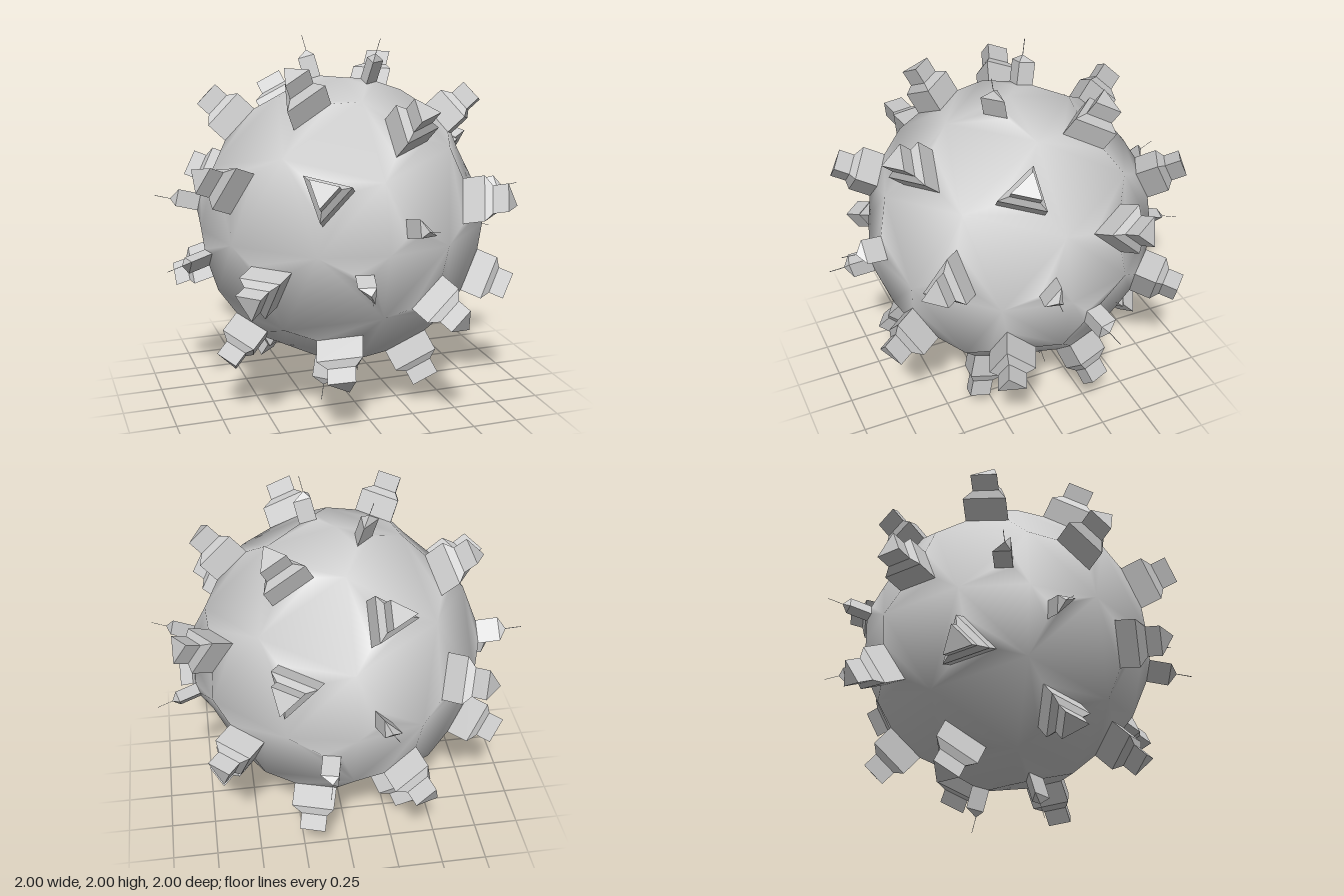
import * as THREE from 'three';
import { mergeVertices } from 'three/addons/utils/BufferGeometryUtils.js';

const R = 0.785; // ball radius
// stud profile: [inset from the triangle's sides, height above the triangle]
const PROFILE = [[0.079, 0.04], [0.079, 0.16], [0.106, 0.195], [0.106, 0.28]];

const material = new THREE.MeshStandardMaterial({ color: 0xcccccc });

function toGeometry(points) {
  const g = new THREE.BufferGeometry();
  g.setAttribute('position', new THREE.Float32BufferAttribute(points.flatMap((p) => p.toArray()), 3));
  return g;
}

// 72 triangles of a ball divided from an octahedron, alternately raised and plain
function ballTriangles() {
  const list = [];
  const add = (corners, s, raised) => {
    const t = corners.map(([i, j, k]) => new THREE.Vector3(i * s[0], j * s[1], k * s[2]).setLength(R));
    if (t[0].dot(t[1].clone().cross(t[2])) < 0) t.reverse();
    list.push({ t, raised });
  };
  for (const sx of [1, -1]) for (const sy of [1, -1]) for (const sz of [1, -1]) {
    const s = [sx, sy, sz], even = sx * sy * sz > 0;
    for (let i = 0; i < 3; i++) for (let j = 0; i + j < 3; j++) {
      const k = 2 - i - j;
      add([[i + 1, j, k], [i, j + 1, k], [i, j, k + 1]], s, even);
      if (k > 0) add([[i, j + 1, k], [i + 1, j, k], [i + 1, j + 1, k - 1]], s, !even);
    }
  }
  return list;
}

// Shrinks a triangle evenly from its sides and lifts it along its normal
function insetTriangle([a, b, c], inset, height) {
  const la = b.distanceTo(c), lb = c.distanceTo(a), lc = a.distanceTo(b), p = la + lb + lc;
  const normal = b.clone().sub(a).cross(c.clone().sub(a));
  const inradius = normal.length() / p;
  normal.normalize();
  const centre = new THREE.Vector3().addScaledVector(a, la / p).addScaledVector(b, lb / p).addScaledVector(c, lc / p);
  const scale = Math.max(1 - inset / inradius, 0.008);
  return [a, b, c].map((v) => centre.clone().lerp(v, scale).addScaledVector(normal, height));
}

// Joins two triangles with a band of three quads
function addBand(out, lo, hi) {
  for (let e = 0; e < 3; e++) {
    const f = (e + 1) % 3;
    out.push(lo[e], lo[f], hi[f], lo[e], hi[f], hi[e]);
  }
}

// Stepped triangular stud; on the small triangles its neck narrows to a needle
function studGeometry(rings) {
  const out = [];
  for (let k = 0; k < rings.length - 1; k++) addBand(out, rings[k], rings[k + 1]);
  out.push(...rings[rings.length - 1]);
  const g = toGeometry(out);
  g.computeVertexNormals();
  return g;
}

export function createModel() {
  const model = new THREE.Group();
  model.name = 'studdedBall';
  const shell = [];
  const studs = new THREE.Group();
  studs.name = 'studs';

  for (const { t, raised } of ballTriangles()) {
    if (!raised) {
      shell.push(...t);
      continue;
    }
    const rings = PROFILE.map(([inset, height]) => insetTriangle(t, inset, height));
    addBand(shell, t, rings[0]); // sloping frame up to the stud
    const stud = new THREE.Mesh(studGeometry(rings), material);
    stud.name = t.some((v) => Math.max(...v.toArray().map(Math.abs)) > R * 0.99) ? 'needleStud' : 'steppedStud';
    studs.add(stud);
  }

  // Smooth-shaded ball
  const ballGeometry = mergeVertices(toGeometry(shell), 1e-4);
  ballGeometry.computeVertexNormals();
  const ball = new THREE.Mesh(ballGeometry, material);
  ball.name = 'ball';

  model.add(ball, studs);
  model.children.forEach((part) => { part.position.y = 1; });
  return model;
}
